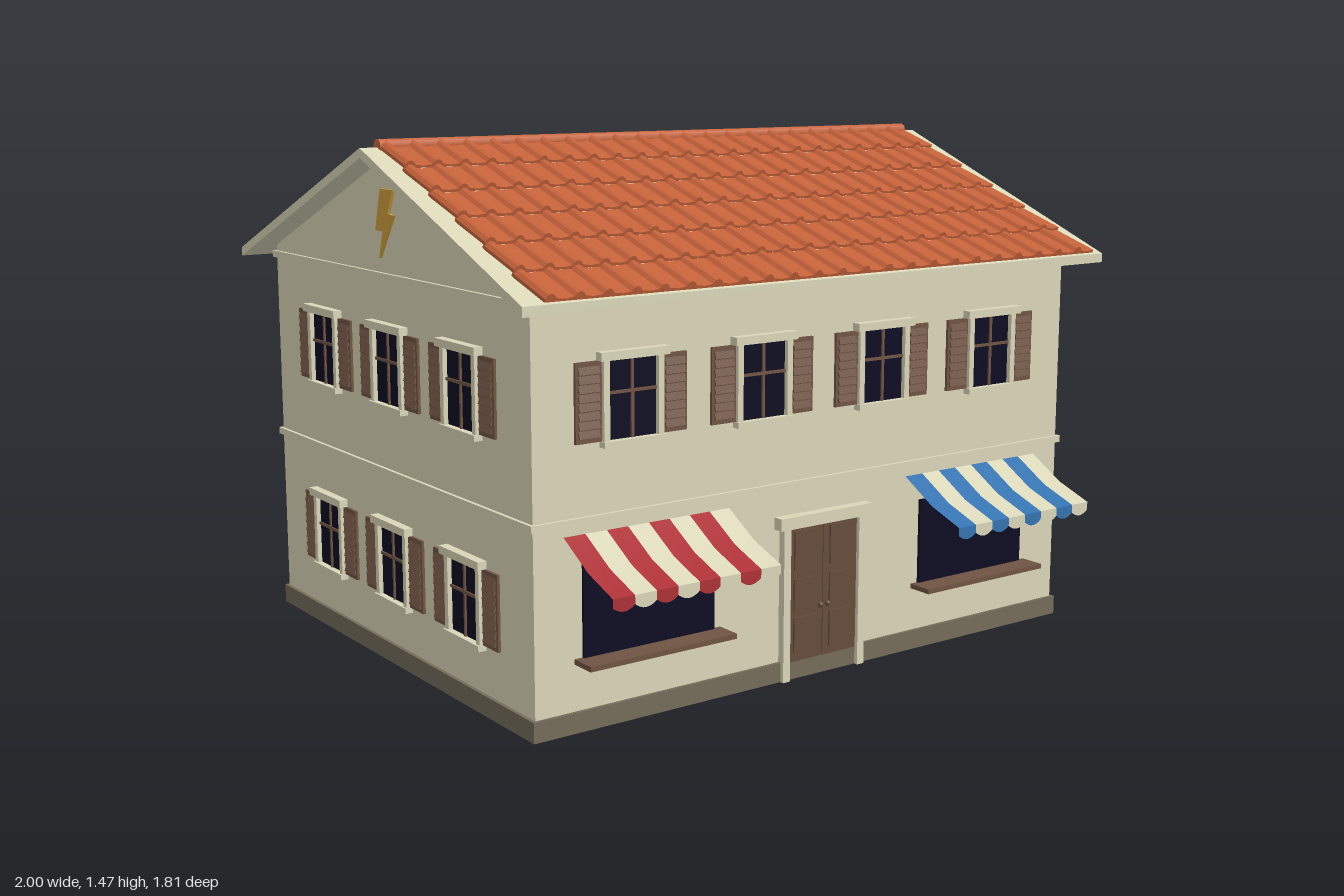
import * as THREE from 'three';

const mat = (name, color, side = THREE.FrontSide) => {
  const m = new THREE.MeshStandardMaterial({ color, side });
  m.name = name;
  return m;
};

export function createModel() {
  const cream = mat('cream plaster', 0xd9d6b8, THREE.DoubleSide);
  const stone = mat('grey stone', 0x746c5a);
  const clay = mat('clay tile', 0xc4623a);
  const shutterBrown = mat('shutter brown', 0x705443);
  const doorBrown = mat('door brown', 0x664c3b);
  const navy = mat('dark glass', 0x0d0c22);
  const gold = mat('gold', 0xd0a040);
  const red = mat('awning red', 0xac3136, THREE.DoubleSide);
  const blue = mat('awning blue', 0x3573b0, THREE.DoubleSide);

  const model = new THREE.Group();
  model.name = 'house';
  const house = new THREE.Group();
  house.name = 'building';
  house.position.z = -0.06;
  model.add(house);

  const HW = 0.925, HD = 0.74, SLOPE = 0.404;

  const mesh = (parent, name, geo, material, x = 0, y = 0, z = 0) => {
    const m = new THREE.Mesh(geo, material);
    m.name = name;
    m.position.set(x, y, z);
    parent.add(m);
    return m;
  };
  // box given by centre x, bottom y, back z
  const box = (parent, name, material, w, h, d, x, y, z) =>
    mesh(parent, name, new THREE.BoxGeometry(w, h, d), material, x, y + h / 2, z + d / 2);
  const group = (parent, name, x = 0, y = 0, z = 0, ry = 0) => {
    const g = new THREE.Group();
    g.name = name;
    g.position.set(x, y, z);
    g.rotation.y = ry;
    parent.add(g);
    return g;
  };
  const polygon = (pts) => new THREE.Shape(pts.map(([x, y]) => new THREE.Vector2(x, y)));
  // extrude a z-y outline along x, centred
  const alongX = (pts, width) =>
    new THREE.ExtrudeGeometry(polygon(pts), { depth: width, bevelEnabled: false })
      .translate(0, 0, -width / 2).rotateY(Math.PI / 2);

  // Walls with gables, plinth and bands
  const apex = 1.43, eave = apex - HD * SLOPE;
  mesh(house, 'walls', alongX([[-HD, 0.03], [HD, 0.03], [HD, eave], [0, apex], [-HD, eave]], HW * 2), cream);
  box(house, 'plinth', stone, 1.87, 0.055, 1.5, 0, 0, -0.75);
  box(house, 'floorBand', cream, 1.87, 0.02, 1.5, 0, 0.54, -0.75);
  box(house, 'eavesBand', cream, 1.87, 0.02, 1.5, 0, 1.09, -0.75);

  // Roof slab
  const R = 0.83, drop = R * SLOPE, top = 1.452, thick = 0.026;
  mesh(house, 'roofSlab', alongX([
    [-R, top - drop - thick], [0, top - thick], [R, top - drop - thick],
    [R, top - drop], [0, top], [-R, top - drop]], 2), cream);

  // Tile course: flat pans separated by narrow rolls
  const COLS = 23, TW = 1.89, pitch = TW / COLS, ROWS = 6;
  const angle = Math.atan(SLOPE), rowLen = R / Math.cos(angle) / ROWS;
  const wave = [[-TW / 2, -0.003]];
  for (let i = 0; i < COLS; i++) {
    const x = -TW / 2 + i * pitch;
    [[0, 0.006], [0.1, 0.016], [0.2, 0.019], [0.3, 0.016], [0.4, 0.006], [0.7, 0.003]]
      .forEach(([u, h]) => wave.push([x + u * pitch, h]));
  }
  wave.push([TW / 2, 0.006], [TW / 2, -0.003]);
  const course = new THREE.ExtrudeGeometry(polygon(wave.reverse()), { depth: rowLen + 0.008, bevelEnabled: false });
  for (const ry of [0, Math.PI]) {
    const side = group(house, 'roofSide', 0, top, 0, ry);
    const slope = group(side, 'tileSlope');
    slope.rotation.x = angle;
    for (let r = 0; r < ROWS; r++) {
      const m = mesh(slope, 'tileCourse', course, clay, 0, 0.002, r * rowLen);
      m.rotation.x = -0.075;
    }
  }
  mesh(house, 'ridgeCap', new THREE.CylinderGeometry(0.021, 0.021, TW + 0.006, 10).rotateZ(Math.PI / 2), clay, 0, top + 0.002, 0);

  // Shuttered window; y is the bottom of the glass
  const H = 0.205;
  const addWindow = (wall, x, y) => {
    const w = group(wall, 'window', x, y, 0);
    box(w, 'glass', navy, 0.15, H, 0.008, 0, 0, -0.003);
    box(w, 'muntin', shutterBrown, 0.008, H, 0.006, 0, 0, 0.004);
    box(w, 'crossbar', shutterBrown, 0.15, 0.008, 0.006, 0, H * 0.57, 0.004);
    box(w, 'lintel', cream, 0.208, 0.022, 0.026, 0, H, 0);
    box(w, 'sill', cream, 0.19, 0.016, 0.024, 0, -0.016, 0);
    for (const s of [-1, 1]) {
      box(w, 'jamb', cream, 0.018, H, 0.018, s * 0.083, 0, 0);
      const sh = group(w, 'shutter', s * 0.131, 0, 0);
      box(sh, 'shutterPanel', shutterBrown, 0.078, H, 0.008, 0, 0, 0);
      for (let i = 0; i < 8; i++) {
        const slat = box(sh, 'slat', shutterBrown, 0.062, 0.02, 0.005, 0, 0.012 + i * 0.023, 0.007);
        slat.rotation.x = -0.3;
      }
    }
  };

  const front = group(house, 'frontWall', 0, 0, HD, 0);
  const back = group(house, 'backWall', 0, 0, -HD, Math.PI);
  const left = group(house, 'leftWall', HW, 0, 0, Math.PI / 2);
  const right = group(house, 'rightWall', -HW, 0, 0, -Math.PI / 2);
  const UP = 0.747, LOW = 0.19;
  for (const wall of [front, back])
    for (const x of [-0.632, -0.212, 0.21, 0.628]) addWindow(wall, x, UP);
  for (const x of [-0.485, 0, 0.485]) addWindow(back, x, LOW);

  // Gable sides: two rows of windows and a bolt ornament
  const bolt = polygon([[-0.02, 1.34], [-0.053, 1.225], [-0.01, 1.225], [-0.034, 1.15],
    [0.053, 1.272], [0.022, 1.275], [0.053, 1.34]]);
  for (const wall of [left, right]) {
    for (const x of [-0.405, 0, 0.405]) [UP, LOW].forEach((y) => addWindow(wall, x, y));
    mesh(wall, 'boltOrnament', new THREE.ExtrudeGeometry(bolt, { depth: 0.009, bevelEnabled: false }), gold);
  }

  // Double door
  const door = group(front, 'door');
  box(door, 'doorLintel', cream, 0.326, 0.034, 0.03, 0, 0.432, 0);
  for (const s of [-1, 1]) {
    box(door, 'doorPost', cream, 0.024, 0.432, 0.022, s * 0.134, 0, 0);
    box(door, 'doorLeaf', doorBrown, 0.121, 0.382, 0.011, s * 0.0615, 0.05, 0);
    for (const [y, h] of [[0.31, 0.11], [0.195, 0.09], [0.075, 0.1]])
      box(door, 'doorPanel', doorBrown, 0.08, h, 0.005, s * 0.063, y, 0.011);
    mesh(door, 'doorKnob', new THREE.SphereGeometry(0.008, 10, 8), doorBrown, s * 0.013, 0.2, 0.019);
  }

  // Shop windows with striped, scalloped awnings
  const STRIPES = 8, AW = 0.518, sw = AW / STRIPES;
  const profile = [[0.515, 0.0], [0.45, 0.11], [0.41, 0.22]];
  const scallop = new THREE.Shape();
  scallop.moveTo(-sw / 2, 0.41);
  scallop.lineTo(-sw / 2, 0.387);
  scallop.quadraticCurveTo(0, 0.361, sw / 2, 0.387);
  scallop.lineTo(sw / 2, 0.41);
  const canopy = new THREE.PlaneGeometry(sw, 1, 1, 2);
  const pos = canopy.attributes.position;
  for (let i = 0; i < pos.count; i++) {
    const [y, z] = profile[Math.floor(i / 2)];
    pos.setXYZ(i, pos.getX(i), y, z);
  }
  canopy.computeVertexNormals();
  const valance = new THREE.ShapeGeometry(scallop, 8);
  for (const [x, colour] of [[-0.577, red], [0.572, blue]]) {
    const shop = group(front, 'shopWindow', x);
    box(shop, 'shopGlass', navy, 0.412, 0.25, 0.008, 0, 0.19, 0);
    box(shop, 'shopSill', shutterBrown, 0.46, 0.014, 0.075, 0, 0.18, 0);
    const awning = group(shop, 'awning');
    for (let i = 0; i < STRIPES; i++) {
      const m = i % 2 ? cream : colour;
      const sx = -AW / 2 + (i + 0.5) * sw;
      mesh(awning, 'awningStripe', canopy, m, sx);
      mesh(awning, 'awningValance', valance, m, sx, 0, 0.22);
    }
  }
  return model;
}
